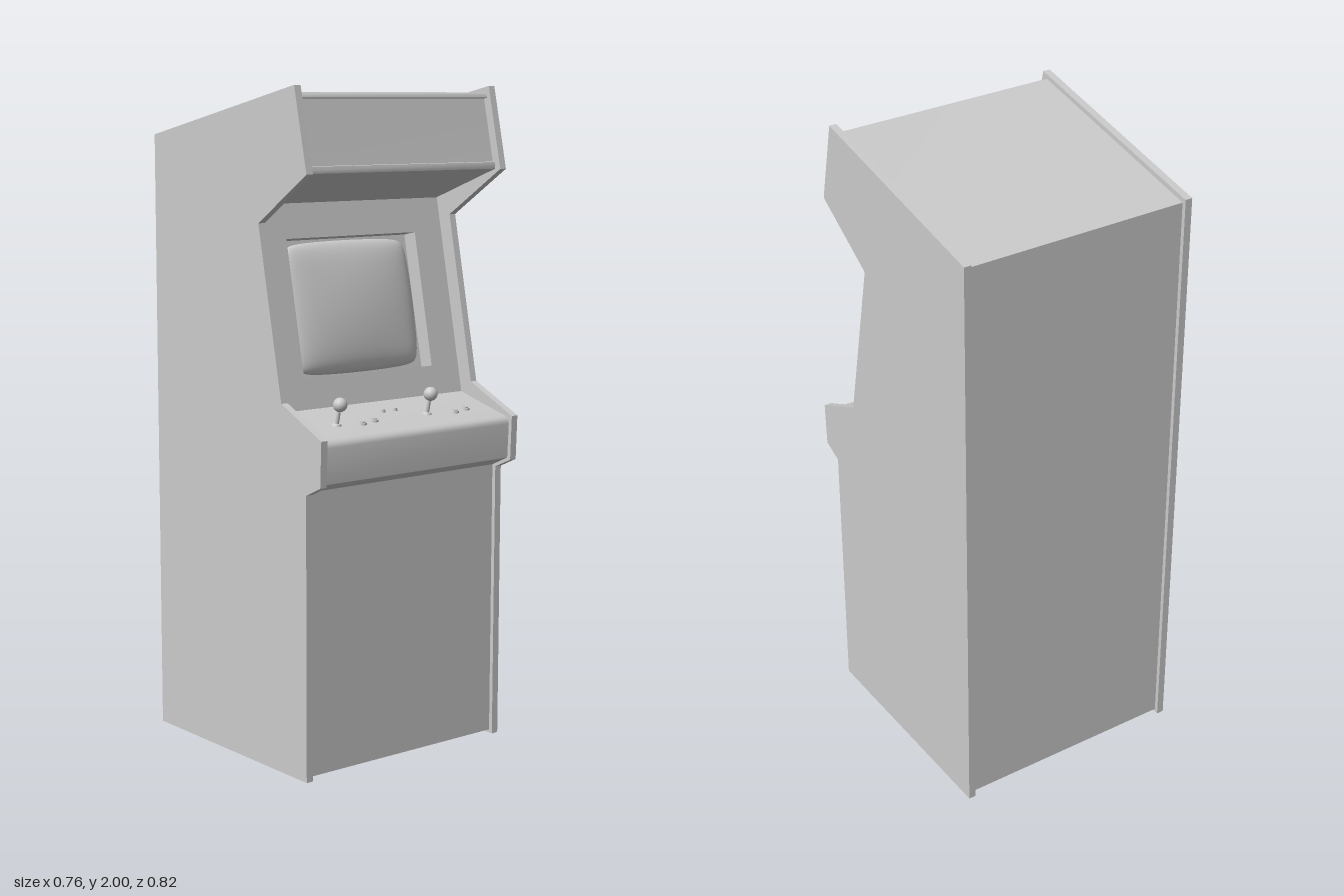
import * as THREE from 'three';
import { toCreasedNormals } from 'three/addons/utils/BufferGeometryUtils.js';

const material = new THREE.MeshStandardMaterial({ color: 0xcccccc });

function addMesh(parent, name, geometry, x = 0, y = 0, z = 0) {
  const mesh = new THREE.Mesh(geometry, material);
  mesh.name = name;
  mesh.position.set(x, y, z);
  parent.add(mesh);
  return mesh;
}

// Extrudes a side profile of [z, y] points across x, centred on x = 0.
function profileGeometry(points, width) {
  const shape = new THREE.Shape(points.map(([z, y]) => new THREE.Vector2(z, y)));
  const geometry = new THREE.ExtrudeGeometry(shape, { depth: width, bevelEnabled: false });
  geometry.translate(0, 0, -width / 2).rotateY(-Math.PI / 2);
  return toCreasedNormals(geometry, 0.6);
}

// Domed glass with rounded corners: flat-ish centre, steep rim.
function tubeGeometry(width, height, bulge) {
  const geometry = new THREE.PlaneGeometry(2, 2, 40, 40);
  const p = geometry.attributes.position;
  for (let i = 0; i < p.count; i++) {
    // spread rows towards the rim
    const u = Math.sin(p.getX(i) * Math.PI / 2), v = Math.sin(p.getY(i) * Math.PI / 2);
    const round = 1 - 0.05 * u ** 8 * v ** 8;
    const dome = 0.5 * (1 - u * u) * (1 - v * v) + 0.5 * Math.sqrt(Math.max(0, (1 - u ** 8) * (1 - v ** 8)));
    p.setXYZ(i,
      u * round * (1 - 0.035 * v * v) * width / 2,
      v * round * (1 - 0.035 * u * u) * height / 2,
      bulge * dome);
  }
  geometry.computeVertexNormals();
  return geometry;
}

export function createModel() {
  const cabinet = new THREE.Group();
  cabinet.name = 'arcadeCabinet';

  // Side panels
  const sideProfile = [
    [-0.41, 0], [0.34, 0], [0.34, 0.85], [0.405, 0.88], [0.41, 1.015], [0.225, 1.1],
    [0.12, 1.61], [0.345, 1.755], [0.29, 2], [-0.41, 1.855],
  ];
  const sideGeometry = profileGeometry(sideProfile, 0.023);
  addMesh(cabinet, 'leftSidePanel', sideGeometry, 0.3665);
  addMesh(cabinet, 'rightSidePanel', sideGeometry, -0.3665);

  // Inset body: front door, control shelf, screen well, sign box, top and back
  const bodyProfile = [
    [-0.397, 0.01], [0.327, 0.01], [0.327, 0.855], [0.392, 0.885],
    [0.397, 0.99], [0.395, 1], [0.389, 1.007], [0.379, 1.013],
    [0.13, 1.078], [0.01, 1.642],
    [0.322, 1.755], [0.323, 1.764], [0.32, 1.775], [0.312, 1.776],
    [0.27, 1.963], [0.283, 1.965], [0.281, 1.974], [0.275, 1.98], [0.267, 1.981],
    [-0.397, 1.842],
  ];
  addMesh(cabinet, 'body', profileGeometry(bodyProfile, 0.71));

  // Tilted screen surround with a rectangular opening
  const screen = new THREE.Group();
  screen.name = 'screen';
  screen.position.set(0, 1.3625, 0.1207);
  screen.rotation.x = -Math.atan(0.206);
  cabinet.add(screen);

  const rectangle = (Type, w, h, cy) => new Type([
    new THREE.Vector2(-w / 2, cy - h / 2), new THREE.Vector2(w / 2, cy - h / 2),
    new THREE.Vector2(w / 2, cy + h / 2), new THREE.Vector2(-w / 2, cy + h / 2),
  ]);
  const surround = rectangle(THREE.Shape, 0.71, 0.607, 0);
  surround.holes.push(rectangle(THREE.Path, 0.495, 0.414, -0.008));
  const surroundGeometry = new THREE.ExtrudeGeometry(surround, { depth: 0.05, bevelEnabled: false });
  addMesh(screen, 'screenSurround', surroundGeometry, 0, 0, -0.05);
  addMesh(screen, 'screenGlass', tubeGeometry(0.48, 0.4, 0.046), 0, -0.008, -0.047);

  // Controls, standing on the sloped shelf
  const slope = 0.261;
  const shelfY = (z) => 1.013 + (0.379 - z) * slope;
  function onShelf(name, x, z) {
    const group = new THREE.Group();
    group.name = name;
    group.position.set(x, shelfY(z), z);
    group.rotation.x = Math.atan(slope);
    cabinet.add(group);
    return group;
  }

  // Joysticks
  for (const x of [-0.235, 0.11]) {
    const stick = onShelf('joystick', x, 0.3);
    addMesh(stick, 'joystickBase', new THREE.CylinderGeometry(0.011, 0.015, 0.006, 20), 0, 0.003, 0);
    addMesh(stick, 'joystickShaft', new THREE.CylinderGeometry(0.005, 0.006, 0.05, 14), 0, 0.028, 0);
    addMesh(stick, 'joystickBall', new THREE.SphereGeometry(0.021, 24, 16), 0, 0.063, 0);
  }

  // Push buttons: [x, z, radius]
  const buttons = [
    [-0.15, 0.31, 0.016], [-0.098, 0.3, 0.016], [0.21, 0.31, 0.016], [0.262, 0.3, 0.016],
    [-0.022, 0.253, 0.008], [0.025, 0.253, 0.008],
  ];
  for (const [x, z, r] of buttons) {
    const button = onShelf('button', x, z);
    addMesh(button, 'buttonCollar', new THREE.CylinderGeometry(r * 0.88, r, 0.006, 20), 0, 0.003, 0);
    addMesh(button, 'buttonCap', new THREE.CylinderGeometry(r * 0.58, r * 0.65, 0.008, 20), 0, 0.005, 0);
  }

  return cabinet;
}
